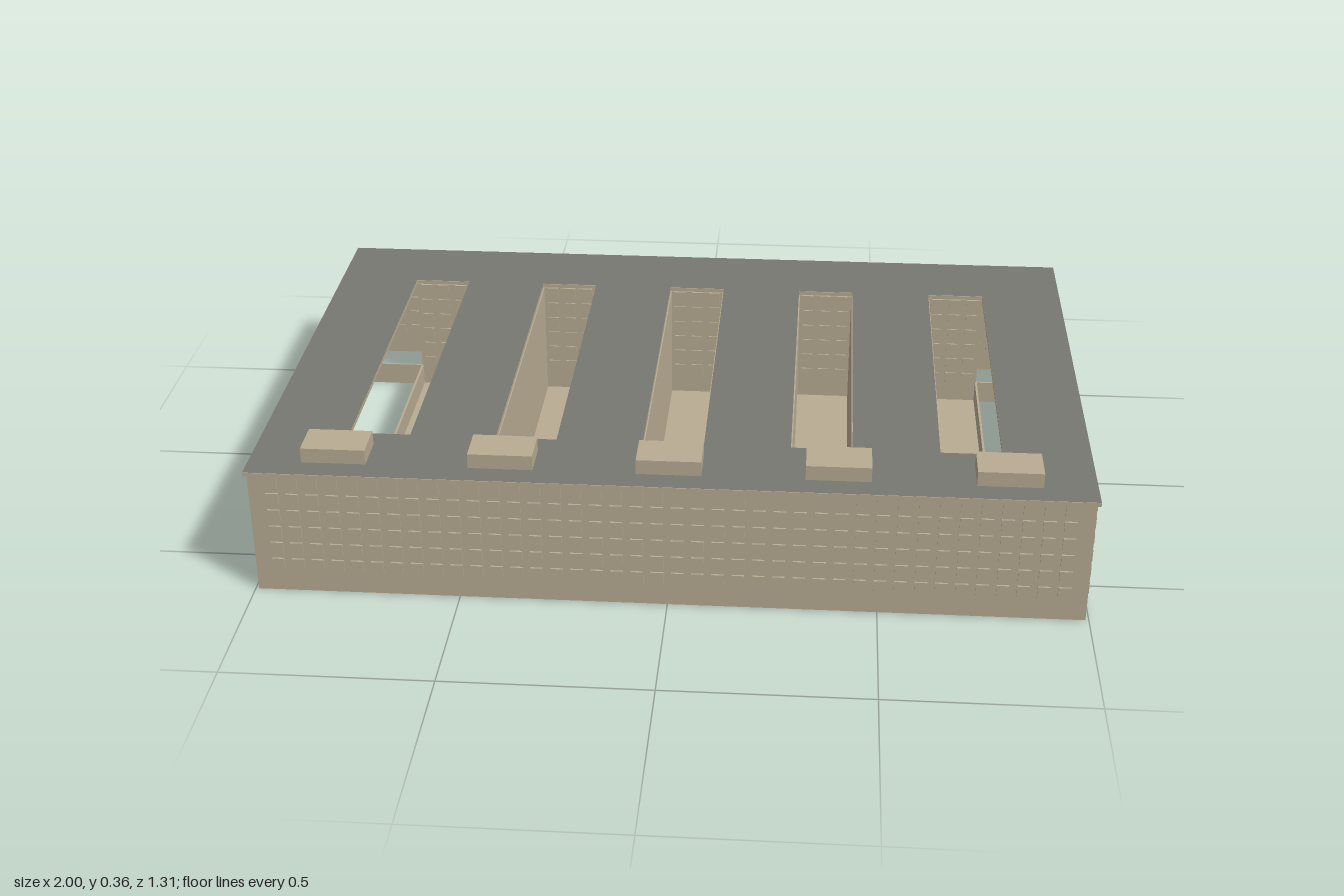
import * as THREE from 'three';
import { mergeGeometries } from 'three/addons/utils/BufferGeometryUtils.js';

const stone = new THREE.MeshStandardMaterial({ color: 0xb8ab93 });
stone.name = 'stone';
const roofing = new THREE.MeshStandardMaterial({ color: 0x777870 });
roofing.name = 'roofing';

const W = 0.992, D = 0.65;             // half sizes of the outer walls
const ROOF = 0.315, TOP = 0.325;       // underside and top of the roof slab
const YARD_Z = 0.445, YARD_W = 0.148;  // half length and width of a light well
const yards = [-2, -1, 0, 1, 2].map(i => i * 0.357);
const T = 0.006;                       // wall thickness

export function createModel() {
  const group = new THREE.Group();

  const add = (name, geometry, material) => {
    const mesh = new THREE.Mesh(geometry, material);
    mesh.name = name;
    group.add(mesh);
  };
  // box given by its two corners
  const block = (x0, x1, y0, y1, z0, z1) =>
    new THREE.BoxGeometry(x1 - x0, y1 - y0, z1 - z0)
      .translate((x0 + x1) / 2, (y0 + y1) / 2, (z0 + z1) / 2);
  // grid of windows standing proud of both sides of a wall
  const windows = (length, pitch, cx, cz, alongZ, depth) => {
    const parts = [];
    const n = Math.floor(length / pitch);
    for (let row = 0; row < 6; row++) {
      for (let i = 0; i < n; i++) {
        const s = (i - (n - 1) / 2) * pitch;
        const y = 0.075 + row * 0.045;
        parts.push(alongZ
          ? new THREE.BoxGeometry(depth, 0.03, 0.03).translate(cx, y, cz + s)
          : new THREE.BoxGeometry(0.03, 0.03, depth).translate(cx + s, y, cz));
      }
    }
    return mergeGeometries(parts);
  };

  // outer walls, open below, with their window grids
  for (const s of [-1, 1]) {
    const z = s * (D - T / 2), x = s * (W - T / 2);
    const face = s > 0 ? 'front' : 'back', side = s > 0 ? 'left' : 'right';
    add(face + 'Wall', block(-W, W, 0, ROOF, z - T / 2, z + T / 2), stone);
    add(face + 'Windows', windows(1.96, 0.048, 0, z, false, 0.016), stone);
    add(side + 'Wall', block(x - T / 2, x + T / 2, 0, ROOF, -D + T, D - T), stone);
    add(side + 'Windows', windows(1.29, 0.053, x, 0, true, 0.016), stone);
  }

  // roof slab pierced by the light wells, with a thin covering on top
  const outline = new THREE.Shape([[-1, -0.655], [1, -0.655], [1, 0.655], [-1, 0.655]]
    .map(p => new THREE.Vector2(...p)));
  for (const x of yards) {
    const a = x - YARD_W / 2, b = x + YARD_W / 2;
    outline.holes.push(new THREE.Path([[a, -YARD_Z], [a, YARD_Z], [b, YARD_Z], [b, -YARD_Z]]
      .map(p => new THREE.Vector2(...p))));
  }
  add('roofSlab', new THREE.ExtrudeGeometry(outline, { depth: TOP - ROOF, bevelEnabled: false })
    .rotateX(-Math.PI / 2).translate(0, ROOF, 0), stone);
  add('roofCovering', new THREE.ShapeGeometry(outline)
    .rotateX(-Math.PI / 2).translate(0, TOP + 0.001, 0), roofing);

  // light wells: end walls with windows, plain long walls; outermost sides stay open
  const edge = yards[4] + YARD_W / 2;
  yards.forEach((x, i) => {
    const a = x - YARD_W / 2, b = x + YARD_W / 2;
    for (const s of [-1, 1]) {
      const z = s * YARD_Z;
      add('wellEndWall', block(a, b, 0, ROOF, z - T / 2, z + T / 2), stone);
      add('wellEndWindows', windows(YARD_W, 0.048, x, z, false, 0.014), stone);
    }
    if (i > 0) add('wellSideWall', block(a - T / 2, a + T / 2, 0, ROOF, -YARD_Z, YARD_Z), stone);
    if (i < 4) add('wellSideWall', block(b - T / 2, b + T / 2, 0, ROOF, -YARD_Z, YARD_Z), stone);
  });

  // ground plate and low base walls around it
  add('groundPlate', block(-edge, edge, 0, 0.004, -YARD_Z, YARD_Z), stone);
  for (const s of [-1, 1]) {
    const z = s * YARD_Z, x = s * edge;
    add('baseWall', block(-W + T, W - T, 0, 0.06, z - T / 2, z + T / 2), stone);
    add('baseSideWall', block(x - T / 2, x + T / 2, 0, 0.06, -YARD_Z, YARD_Z), stone);
  }

  // rooftop plant rooms along the front
  for (let i = -2; i <= 2; i++) {
    const x = i * 0.398;
    add('plantRoom', block(x - 0.077, x + 0.077, TOP, 0.363, 0.5, 0.597), stone);
  }

  return group;
}
